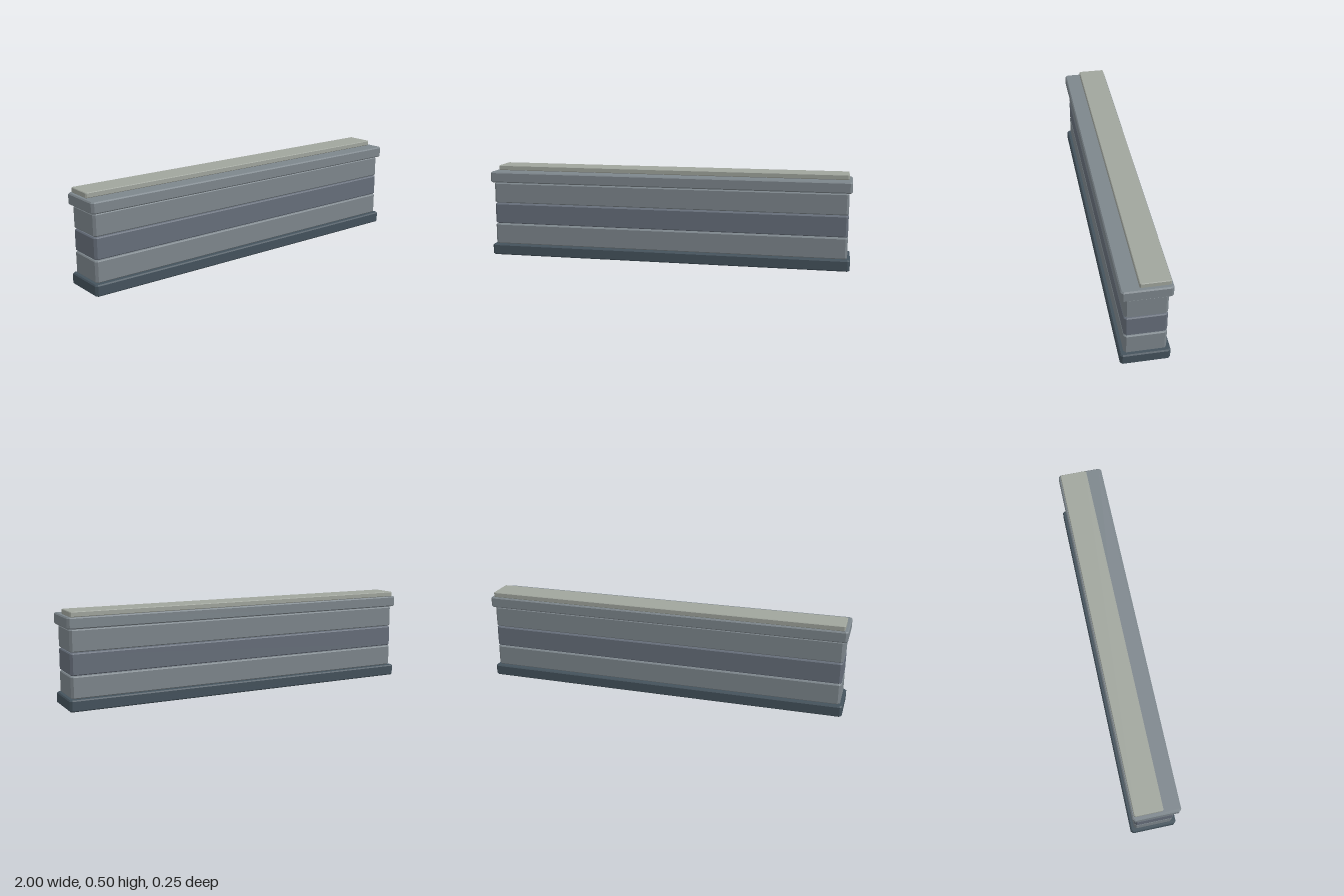
import * as THREE from 'three';

// Block with cut vertical corners and a narrow bevel along its top and bottom edges
function chamferedBlock(width, height, depth, corner, bevel) {
  const x = width / 2, z = depth / 2, c = corner;
  const plan = new THREE.Shape([
    [-x + c, -z], [x - c, -z], [x, -z + c], [x, z - c],
    [x - c, z], [-x + c, z], [-x, z - c], [-x, -z + c],
  ].map(([px, pz]) => new THREE.Vector2(px, pz)));
  const geometry = new THREE.ExtrudeGeometry(plan, {
    depth: height - 2 * bevel,
    bevelEnabled: true,
    bevelThickness: bevel,
    bevelSize: bevel,
    bevelOffset: -bevel,
    bevelSegments: 1,
  });
  geometry.translate(0, 0, bevel);
  geometry.rotateX(-Math.PI / 2);
  return geometry;
}

export function createModel() {
  const wall = new THREE.Group();
  wall.name = 'lowWall';

  const dark = 0x44525c, grey = 0x7d868c, blue = 0x666e7a, pale = 0xa0a59d;

  // Stacked courses: name, colour, width, bottom, top, back z, front z, corner cut, bevel
  const courses = [
    ['plinth', dark, 2, 0, 0.06, -0.124, 0.124, 0.012, 0.006],
    ['lowerCourse', grey, 1.97, 0.062, 0.175, -0.105, 0.105, 0.012, 0.005],
    ['middleCourse', blue, 1.97, 0.18, 0.293, -0.105, 0.105, 0.012, 0.005],
    ['upperCourse', grey, 1.97, 0.298, 0.411, -0.105, 0.105, 0.012, 0.005],
    ['coping', grey, 2, 0.416, 0.475, -0.124, 0.124, 0.012, 0.006],
    ['topSlab', pale, 1.965, 0.475, 0.502, -0.114, 0.035, 0.006, 0.003],
  ];

  for (const [name, color, width, bottom, top, back, front, corner, bevel] of courses) {
    const mesh = new THREE.Mesh(
      chamferedBlock(width, top - bottom, front - back, corner, bevel),
      new THREE.MeshStandardMaterial({ color }),
    );
    mesh.name = name;
    mesh.position.set(0, bottom, (front + back) / 2);
    wall.add(mesh);
  }
  return wall;
}
